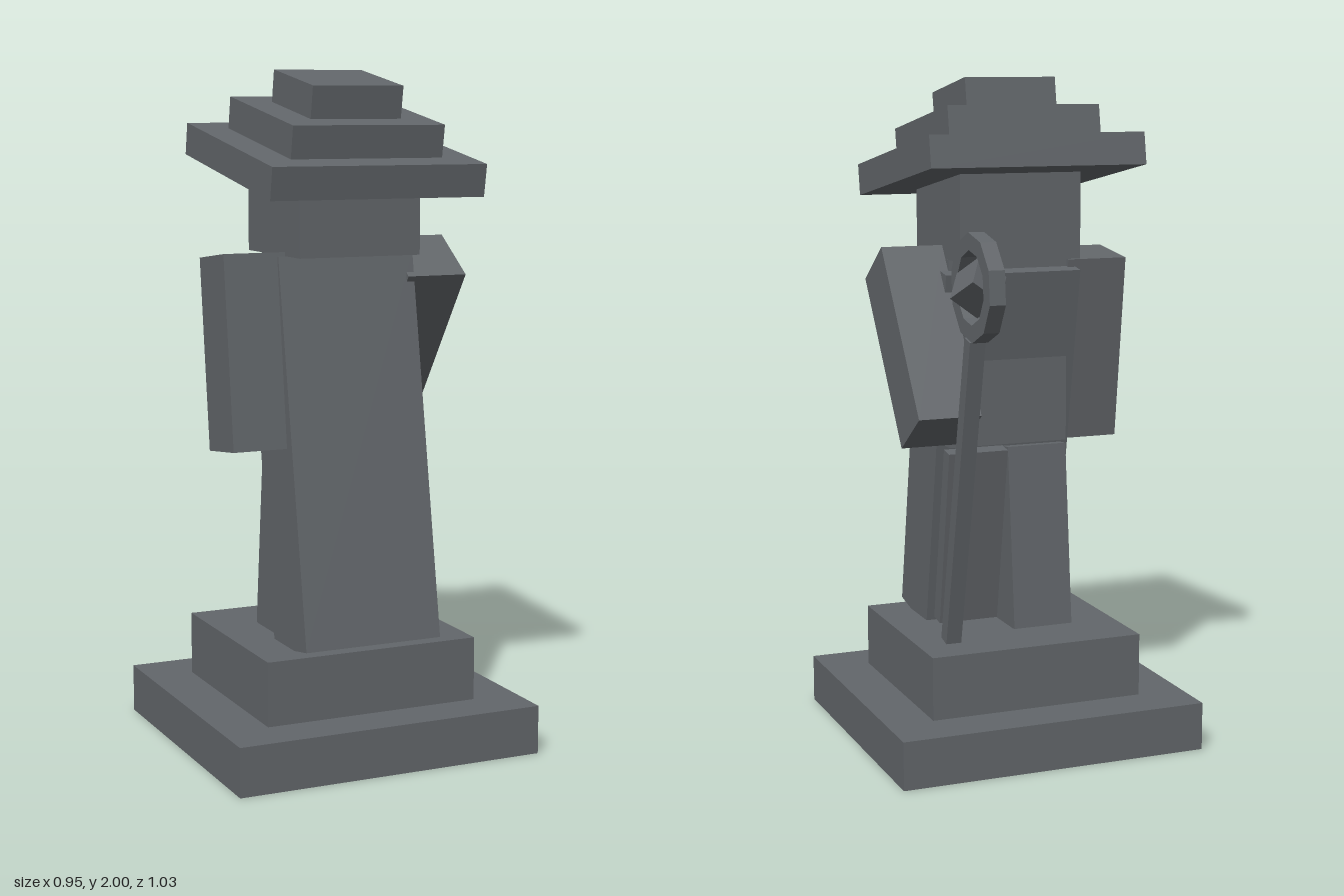
import * as THREE from 'three';

const rad = THREE.MathUtils.degToRad;

export function createModel() {
  const model = new THREE.Group();
  model.name = 'statue';
  const stone = new THREE.MeshStandardMaterial({ color: 0x62666a });
  stone.name = 'grey stone';

  // Box with a pitch in degrees about x
  const box = (name, size, pos, pitch = 0, parent = model) => {
    const mesh = new THREE.Mesh(new THREE.BoxGeometry(...size), stone);
    mesh.name = name;
    mesh.position.set(...pos);
    mesh.rotation.x = rad(pitch);
    parent.add(mesh);
    return mesh;
  };

  // Stepped pedestal
  box('lowerPlinth', [0.95, 0.145, 0.9], [0, 0.0725, 0.064]);
  box('upperPlinth', [0.665, 0.19, 0.615], [0, 0.24, 0.068]);

  // Body, striding legs and leaning robe
  box('torso', [0.38, 0.565, 0.18], [0, 1.187, 0.09]);
  box('leftLeg', [0.19, 0.555, 0.19], [0.095, 0.626, 0.142], -9.5);
  box('rightLeg', [0.19, 0.56, 0.19], [-0.095, 0.606, 0.07], 5.6);
  box('robe', [0.43, 1.137, 0.234], [0, 0.89, 0.167], -10);
  box('leftArm', [0.19, 0.565, 0.19], [0.285, 1.224, -0.03], 35);
  box('rightArm', [0.19, 0.565, 0.19], [-0.285, 1.19, 0.115], -7);
  box('head', [0.38, 0.28, 0.38], [0, 1.61, 0.09]);

  // Three-tier hat, tipped forward
  const hat = new THREE.Group();
  hat.name = 'hat';
  hat.position.set(0, 1.743, 0.084);
  hat.rotation.x = rad(9.8);
  model.add(hat);
  [0.664, 0.473, 0.284].forEach((w, i) =>
    box('hatTier' + (i + 1), [w, 0.095, w], [0, i * 0.0955, 0], 0, hat));

  // Staff with a ten-sided ring and a floating cube
  box('staffRod', [0.047, 0.95, 0.045], [0.237, 0.815, -0.238], -12.5);
  const decagon = (r) => Array.from({ length: 10 }, (_, i) => {
    const a = (i + 0.5) * Math.PI / 5 + Math.PI / 2;
    return new THREE.Vector2(r * Math.cos(a), r * Math.sin(a));
  });
  const ringShape = new THREE.Shape(decagon(0.154));
  ringShape.holes.push(new THREE.Path(decagon(0.105)));
  const ringGeometry = new THREE.ExtrudeGeometry(ringShape, { depth: 0.047, bevelEnabled: false });
  ringGeometry.translate(0, 0, -0.0235).rotateY(Math.PI / 2).rotateX(rad(-12.5));
  const ring = new THREE.Mesh(ringGeometry, stone);
  ring.name = 'staffRing';
  ring.position.set(0.237, 1.428, -0.365);
  model.add(ring);

  const cube = box('staffCube', [0.1, 0.1, 0.1], [0.237, 1.428, -0.367]);
  cube.rotation.set(0.6, 0.4, 0.5);

  return model;
}
